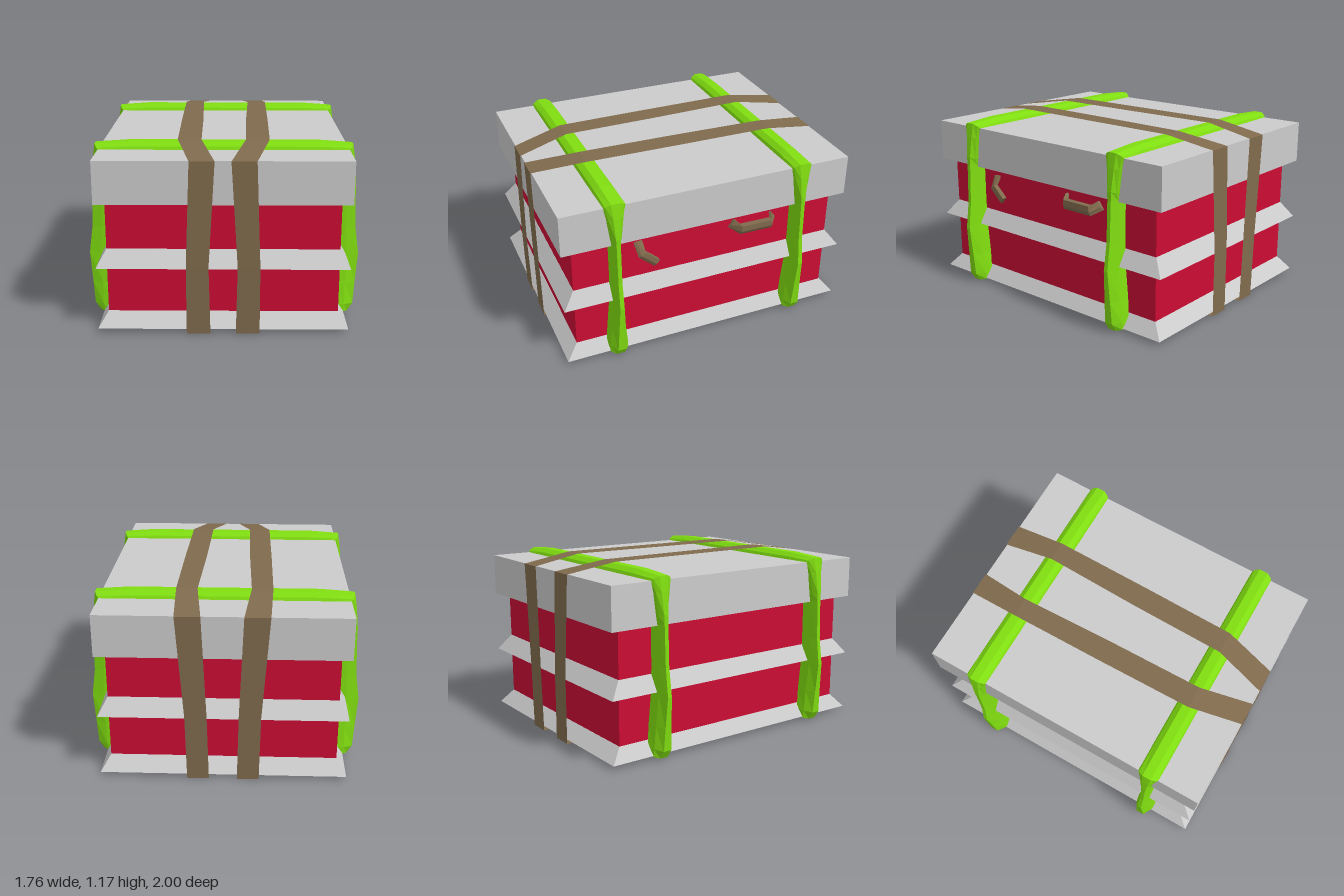
import * as THREE from 'three';

const grey = new THREE.MeshStandardMaterial({ color: 0xcccccc, flatShading: true });
const red = new THREE.MeshStandardMaterial({ color: 0xcc0d33, flatShading: true });
const green = new THREE.MeshStandardMaterial({ color: 0x80dd10, flatShading: true });
const brown = new THREE.MeshStandardMaterial({ color: 0x806b4d, flatShading: true, side: THREE.DoubleSide });

// Skins a list of cross-sections (rings of [x, y, z]) with flat faces
function loft(rings, { loop = false, open = false, caps = false } = {}) {
  const out = [];
  const tri = (a, b, c) => out.push(...a, ...b, ...c);
  const n = rings[0].length;
  const steps = loop ? rings.length : rings.length - 1;
  for (let i = 0; i < steps; i++) {
    const r = rings[i], s = rings[(i + 1) % rings.length];
    for (let j = 0; j < (open ? n - 1 : n); j++) {
      const k = (j + 1) % n;
      tri(r[j], s[j], s[k]);
      tri(r[j], s[k], r[k]);
    }
  }
  if (caps) {
    const first = rings[0], last = rings[rings.length - 1];
    for (let j = 1; j < n - 1; j++) {
      tri(first[0], first[j], first[j + 1]);
      tri(last[0], last[j + 1], last[j]);
    }
  }
  const g = new THREE.BufferGeometry();
  g.setAttribute('position', new THREE.Float32BufferAttribute(out, 3));
  g.computeVertexNormals();
  return g;
}

const rect = (x, y, z) => [[x, y, -z], [x, y, z], [-x, y, z], [-x, y, -z]];

// Padded green strap running round the box at depth z
function paddedStrap(z) {
  // inner x, inner y, outer x, outer y, half width
  const half = [
    [0.55, 0.03, 0.55, 0.012, 0.07],
    [0.76, 0.03, 0.82, 0.015, 0.07],
    [0.74, 0.08, 0.855, 0.07, 0.07],
    [0.73, 0.22, 0.865, 0.22, 0.055],
    [0.73, 0.42, 0.88, 0.42, 0.036],
    [0.73, 0.6, 0.855, 0.6, 0.032],
    [0.73, 0.84, 0.845, 0.87, 0.034],
    [0.78, 0.9, 0.845, 0.92, 0.038],
    [0.785, 1.05, 0.83, 1.06, 0.058],
    [0.785, 1.12, 0.815, 1.155, 0.074],
    [0.6, 1.12, 0.6, 1.17, 0.074],
  ];
  const mirrored = half.map(([a, b, c, d, w]) => [-a, b, -c, d, w]).reverse();
  const rings = [...half, ...mirrored].map(([xi, yi, xo, yo, w]) => {
    const at = (t, s) => [xi + (xo - xi) * t, yi + (yo - yi) * t, z + s * w];
    return [at(0, -1), at(0.5, -0.85), at(1, -0.4), at(1, 0.4), at(0.5, 0.85), at(0, 1)];
  });
  return loft(rings, { loop: true });
}

// Thin brown ribbon wrapped front to back; side is +1 or -1
function ribbon(side) {
  // near x, far x, y, z
  const path = [
    [0.05, 0.205, 1.125, 0.996],
    [0.09, 0.23, 0.45, 1.0],
    [0.08, 0.23, 0.003, 0.996],
    [0.09, 0.23, 0.003, -0.996],
    [0.1, 0.24, 0.45, -1.0],
    [0.13, 0.29, 1.125, -0.996],
    [0.17, 0.305, 1.178, -0.65],
    [0.15, 0.3, 1.178, 0],
    [0.14, 0.29, 1.178, 0.65],
  ];
  return loft(path.map(([a, b, y, z]) => [[side * a, y, z], [side * b, y, z]]), { loop: true, open: true });
}

// Faceted bar following a path of [x, y, z] on the side wall
function bar(path, scale) {
  const section = [[0.005, -0.035], [0.02, -0.01], [0.02, 0.03], [-0.02, 0.03], [-0.02, -0.03]];
  const pts = path.map(p => new THREE.Vector3(...p));
  const rings = pts.map((p, i) => {
    const t = pts[Math.min(i + 1, pts.length - 1)].clone().sub(pts[Math.max(i - 1, 0)]).normalize();
    const m = new THREE.Vector3(1, 0, 0).cross(t).normalize();
    return section.map(([u, v]) => [p.x + u * scale, p.y + m.y * v * scale, p.z + m.z * v * scale]);
  });
  return loft(rings, { caps: true });
}

export function createModel() {
  const model = new THREE.Group();
  model.name = 'strappedBox';
  const add = (name, geometry, material) => {
    const mesh = new THREE.Mesh(geometry, material);
    mesh.name = name;
    model.add(mesh);
    return mesh;
  };

  // Box body and lid
  add('body', new THREE.BoxGeometry(1.46, 0.87, 1.82), red).position.y = 0.46;
  add('lid', new THREE.BoxGeometry(1.58, 0.275, 1.98), grey).position.y = 0.988;

  // Flared trims
  for (const [name, y0, y1] of [['bottomTrim', 0.03, 0.12], ['middleTrim', 0.435, 0.54]]) {
    add(name, loft([rect(0.79, y0, 0.99), rect(0.73, y1, 0.911)], { caps: true }), grey);
  }

  // Straps
  add('frontPaddedStrap', paddedStrap(0.64), green);
  add('backPaddedStrap', paddedStrap(-0.64), green);
  add('leftRibbon', ribbon(1), brown);
  add('rightRibbon', ribbon(-1), brown);

  // Whole handle and broken handle
  add('handle', bar([[0.73, 0.78, -0.175], [0.787, 0.75, -0.22], [0.79, 0.75, -0.44], [0.73, 0.78, -0.48]], 1), brown);
  add('brokenHandle', bar([[0.73, 0.8, 0.475], [0.78, 0.73, 0.465], [0.785, 0.65, 0.37]], 0.85), brown);

  return model;
}
